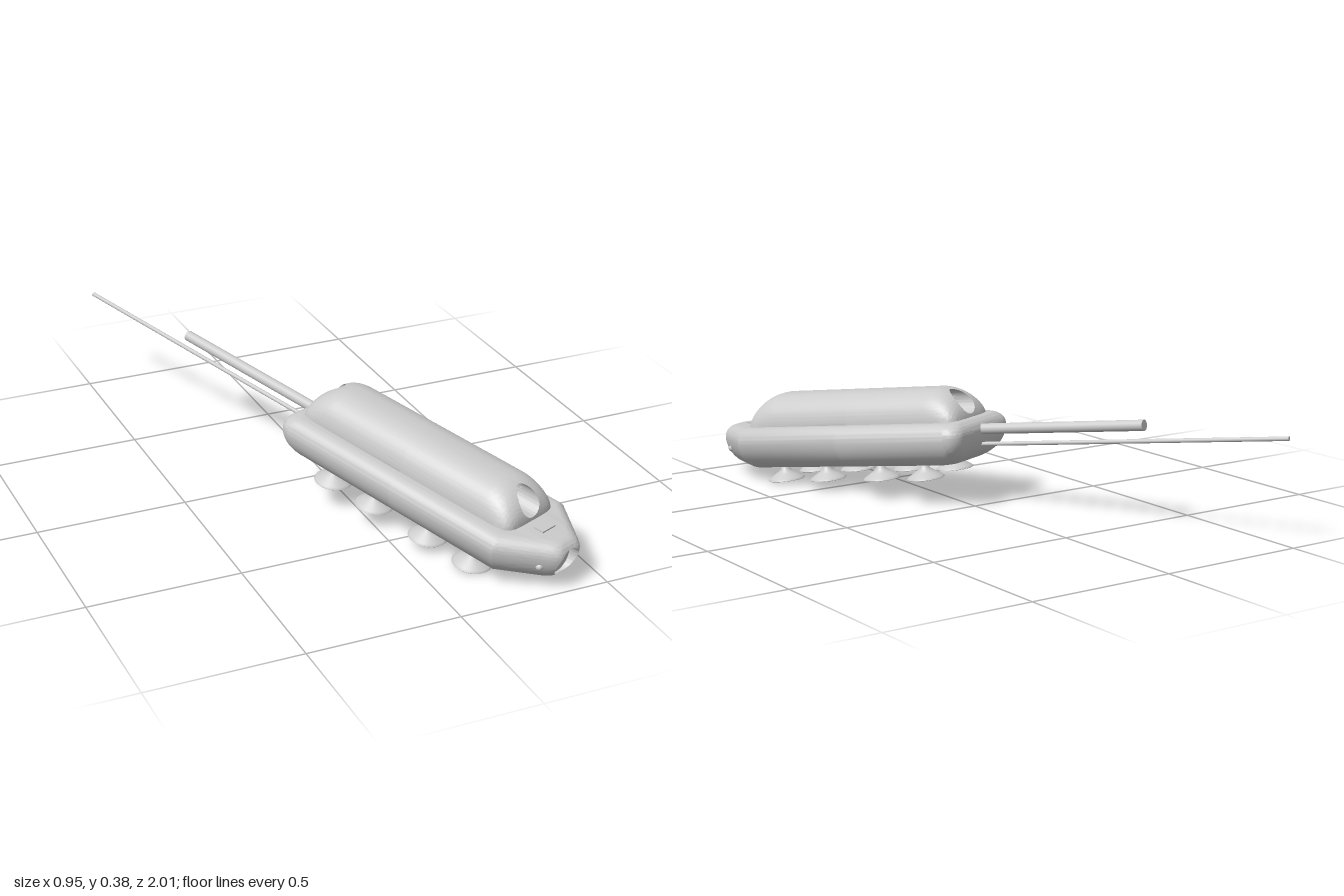
import * as THREE from 'three';
import { toCreasedNormals } from 'three/addons/utils/BufferGeometryUtils.js';

const grey = new THREE.MeshStandardMaterial({ color: 0xcccccc });
const greyDouble = new THREE.MeshStandardMaterial({ color: 0xcccccc, side: THREE.DoubleSide });

function add(parent, name, geometry, x = 0, y = 0, z = 0, material = grey) {
  const mesh = new THREE.Mesh(geometry, material);
  mesh.name = name;
  mesh.position.set(x, y, z);
  parent.add(mesh);
  return mesh;
}

// n points along a curve f(0..1)
const sample = (n, f) => Array.from({ length: n }, (_, i) => f(i / n));

// One end of a body: swept from a round recess out to the cross-section outline,
// bulging along z by a rule, then running straight back to z = base
function shell(outline, centreY, hole, floor, base, bulge) {
  const rings = 22, n = outline.length, pos = [], index = [];
  for (let i = 0; i <= rings; i++) {
    const t = Math.sin(THREE.MathUtils.clamp((i - 1) / (rings - 2), 0, 1) * Math.PI / 2);
    for (const [px, py] of outline) {
      const reach = Math.hypot(px, py - centreY);
      const k = hole / reach + (1 - hole / reach) * t;
      const x = px * k, y = centreY + (py - centreY) * k;
      pos.push(x, y, i === 0 ? floor : i === rings ? base : bulge(x, y));
    }
  }
  for (let i = 0; i < rings; i++) {
    for (let j = 0; j < n; j++) {
      const a = i * n + j, d = i * n + (j + 1) % n;
      index.push(a, a + n, d + n, a, d + n, d);
    }
  }
  const g = new THREE.BufferGeometry();
  g.setAttribute('position', new THREE.Float32BufferAttribute(pos, 3));
  g.setIndex(index);
  return toCreasedNormals(g, 0.7);
}

// Hull section: tight fillet above the widest line, broad rounding below
const WIDE = 0.178, WAIST = 0.25, TOP = 0.045, LOW = 0.09, LOW_H = 0.102;
const WINDOW_Y = 0.222, WINDOW_Z = 0.992;

const inset = (y) => (y > WAIST
  ? TOP - Math.sqrt(Math.max(0, TOP * TOP - (y - WAIST) ** 2))
  : LOW * (1 - Math.sqrt(Math.max(0, 1 - ((WAIST - y) / LOW_H) ** 2))));

function hullOutline() {
  const arc = (cx, rx, ry, from) => sample(14, (t) => {
    const a = from + t * Math.PI / 2;
    return [cx + rx * Math.cos(a), WAIST + ry * Math.sin(a)];
  });
  const flat = (half, y) => sample(30, (t) => [half * (1 - 2 * t), y]);
  return [
    ...arc(WIDE - LOW, LOW, LOW_H, -Math.PI / 2),
    ...arc(WIDE - TOP, TOP, TOP, 0),
    ...flat(WIDE - TOP, WAIST + TOP),
    ...arc(TOP - WIDE, TOP, TOP, Math.PI / 2),
    ...arc(LOW - WIDE, LOW, LOW_H, Math.PI),
    ...flat(LOW - WIDE, WAIST - LOW_H),
  ];
}

// Blunt pointed nose: front edge and two slanted cheeks, softly joined
function noseBulge(x, y) {
  const d = inset(y), soft = 0.02;
  const front = 1.032 - d;
  const cheek = (0.674 - d - 0.788 * Math.abs(x)) / 0.615;
  const h = Math.max(0, soft - Math.abs(front - cheek));
  return Math.min(front, cheek) - (h * h) / (4 * soft);
}

// Flat stern with rounded corners
function sternBulge(x, y) {
  const d = inset(y), r = 0.05;
  const over = Math.max(0, Math.abs(x) - (WIDE - d - r));
  return 0.04 - d - r + Math.sqrt(Math.max(0, r * r - over * over));
}

function hull() {
  const group = new THREE.Group();
  group.name = 'hull';
  const outline = hullOutline();
  add(group, 'nose', shell(outline, WINDOW_Y, 0.05, WINDOW_Z, 0.45, noseBulge));
  const centre = sternBulge(0, WINDOW_Y);
  add(group, 'stern', shell(outline, WINDOW_Y, 0, centre, -0.45, sternBulge)).rotation.y = Math.PI;
  add(group, 'frontWindow', new THREE.CircleGeometry(0.051, 48), 0, WINDOW_Y, WINDOW_Z);
  return group;
}

// Canopy: flattened arch section with rounded ends
const HALF = 0.12, RISE = 0.113, POWER = 2.4, END = 0.125, LENGTH = 0.875;
const HOLE = 0.042, HOLE_Y = 0.061;

function canopyBulge(x, y) {
  const k = Math.min(1, Math.abs(x) / HALF);
  const arch = Math.max(1e-6, RISE * Math.pow(1 - k ** POWER, 1 / POWER));
  const lift = Math.min(1, Math.max(0, y) / arch);
  return END * Math.pow(1 - k ** 6, 1 / 6) * Math.sqrt(1 - lift * lift);
}

// Propeller in its recess
function thruster() {
  const group = new THREE.Group();
  group.name = 'thruster';
  add(group, 'recessFloor', new THREE.CircleGeometry(HOLE + 0.001, 48));
  const hub = add(group, 'propellerHub', new THREE.CylinderGeometry(0.005, 0.007, 0.05, 20), 0, 0, 0.025);
  hub.rotation.x = Math.PI / 2;
  for (let i = 0; i < 5; i++) {
    const spoke = new THREE.Group();
    spoke.rotation.z = (i / 5) * Math.PI * 2;
    const blade = add(spoke, 'propellerBlade', new THREE.BoxGeometry(0.009, 0.034, 0.003), 0, 0.02, 0.042);
    blade.rotation.y = 0.8;
    group.add(spoke);
  }
  return group;
}

function canopy() {
  const group = new THREE.Group();
  group.name = 'canopy';
  const outline = [
    ...sample(60, (t) => {
      const c = Math.cos(t * Math.PI), s = Math.sin(t * Math.PI);
      return [HALF * Math.sign(c) * Math.abs(c) ** (2 / POWER), RISE * s ** (2 / POWER)];
    }),
    ...sample(30, (t) => [HALF * (2 * t - 1), -0.02]),
  ];
  const shoulder = LENGTH / 2 - END;
  const endGeometry = shell(outline, HOLE_Y, HOLE, 0, -shoulder, canopyBulge);
  for (const turn of [0, Math.PI]) {
    const end = new THREE.Group();
    end.rotation.y = turn;
    add(end, 'canopyHalf', endGeometry, 0, 0, shoulder);
    const fan = thruster();
    fan.position.set(0, HOLE_Y, shoulder);
    end.add(fan);
    group.add(end);
  }
  group.position.set(0, 0.287, LENGTH / 2);
  return group;
}

export function createModel() {
  const model = new THREE.Group();
  model.name = 'hullCrawler';
  const body = new THREE.Group();
  body.name = 'body';
  model.add(body);
  body.add(hull(), canopy());

  // Side lamps and deck plate
  for (const side of [-1, 1]) {
    add(body, 'lamp', new THREE.SphereGeometry(0.012, 20, 14), side * 0.08, 0.217, 0.98);
  }
  add(body, 'deckPlate', new THREE.BoxGeometry(0.06, 0.012, 0.035), 0, 0.294, 0.922);

  // Suction cups in two rows
  const cup = new THREE.LatheGeometry([
    [0, 0.034], [0.03, 0.02], [0.062, 0], [0.064, 0.002], [0.058, 0.008],
    [0.036, 0.022], [0.016, 0.036], [0.012, 0.06],
  ].map(([x, y]) => new THREE.Vector2(x, y)), 40);
  for (const z of [0.152, 0.332, 0.56, 0.742]) {
    for (const side of [-1, 1]) {
      add(body, 'suctionCup', cup, side * 0.09, 0.105, z, greyDouble);
    }
  }

  // Rear tube and thin cable
  const rod = (name, radius, y, tip) => {
    const g = new THREE.CylinderGeometry(radius, radius, -tip, 24);
    g.rotateX(Math.PI / 2);
    add(body, name, g, 0, y, tip / 2);
  };
  rod('rearTube', 0.018, 0.253, -0.645);
  rod('rearCable', 0.007, 0.202, -1.138);

  // Heading and nose-down tilt, then stand on the ground and centre
  body.rotation.set(0.131, 0.4, 0, 'YXZ');
  model.updateMatrixWorld(true);
  const box = new THREE.Box3().setFromObject(body, true);
  const mid = box.getCenter(new THREE.Vector3());
  body.position.set(-mid.x, -box.min.y, -mid.z);
  return model;
}
